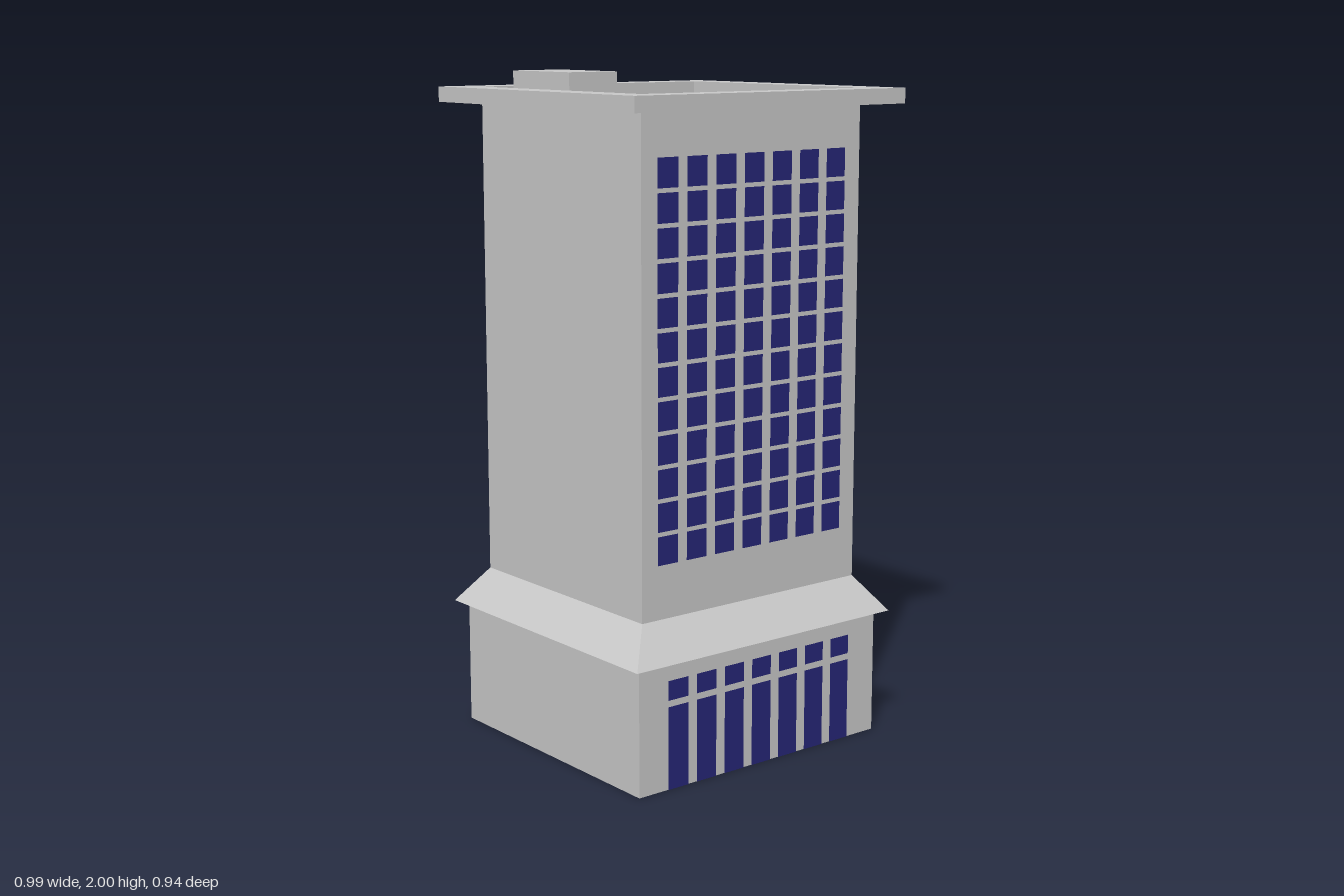
import * as THREE from 'three';

const paint = (color) => new THREE.MeshStandardMaterial({ color });

export function createModel() {
  const building = new THREE.Group();
  building.name = 'building';
  const grey = paint(0xcccccc);
  const glass = paint(0x262679);
  const white = paint(0xfdf8f8);

  const add = (name, geometry, material, parent = building) => {
    const mesh = new THREE.Mesh(geometry, material);
    mesh.name = name;
    parent.add(mesh);
    return mesh;
  };

  // Box given by its width, depth, bottom and top heights
  const block = (w, d, y0, y1, x = 0, z = 0) =>
    new THREE.BoxGeometry(w, y1 - y0, d).translate(x, (y0 + y1) / 2, z);

  const towerW = 0.808, towerD = 0.76, roofY = 1.907;

  // Ground floor and tower
  add('groundFloor', block(0.905, 0.855, 0, 0.38), grey);
  add('tower', block(towerW, towerD, 0.38, roofY), grey);

  // Sloping canopy: a box whose top is drawn in to the tower walls
  const canopy = block(0.968, 0.92, 0.38, 0.488);
  const p = canopy.attributes.position;
  for (let i = 0; i < p.count; i++) {
    if (p.getY(i) > 0.43) {
      p.setX(i, Math.sign(p.getX(i)) * towerW / 2);
      p.setZ(i, Math.sign(p.getZ(i)) * towerD / 2);
    }
  }
  canopy.computeVertexNormals();
  add('canopy', canopy, grey);

  // Overhanging parapet ring around the sunken roof
  const rect = (Type, w, d) => new Type([
    new THREE.Vector2(-w / 2, -d / 2), new THREE.Vector2(w / 2, -d / 2),
    new THREE.Vector2(w / 2, d / 2), new THREE.Vector2(-w / 2, d / 2),
  ]);
  const ring = rect(THREE.Shape, 0.992, 0.944);
  ring.holes.push(rect(THREE.Path, towerW, towerD));
  const parapet = new THREE.ExtrudeGeometry(ring, { depth: 0.045, bevelEnabled: false });
  add('parapet', parapet.rotateX(-Math.PI / 2).translate(0, roofY, 0), grey);

  // Rooftop plant room
  add('roofHut', block(0.17, 0.278, roofY, 2, -0.268, -0.152), grey);

  // Windows on the front, in seven columns
  const windows = new THREE.Group();
  windows.name = 'windows';
  building.add(windows);
  const pane = (name, col, y0, y1, z) => {
    const geometry = new THREE.PlaneGeometry(0.072, y1 - y0);
    add(name, geometry, glass, windows).position.set((col - 3) * 0.1037 - 0.002, (y0 + y1) / 2, z);
  };
  for (let col = 0; col < 7; col++) {
    for (let row = 0; row < 12; row++) {
      const y = 0.646 + row * 0.0957;
      pane('towerWindow', col, y, y + 0.083, towerD / 2 + 0.002);
    }
    pane('groundWindow', col, 0, 0.246, 0.4295);
    pane('transomWindow', col, 0.265, 0.323, 0.4295);
  }

  // Blank board on the left wall
  const board = add('wallBoard', new THREE.PlaneGeometry(0.488, 0.785).rotateY(Math.PI / 2), white);
  board.position.set(towerW / 2 + 0.002, 1.25, 0.006);

  return building;
}
